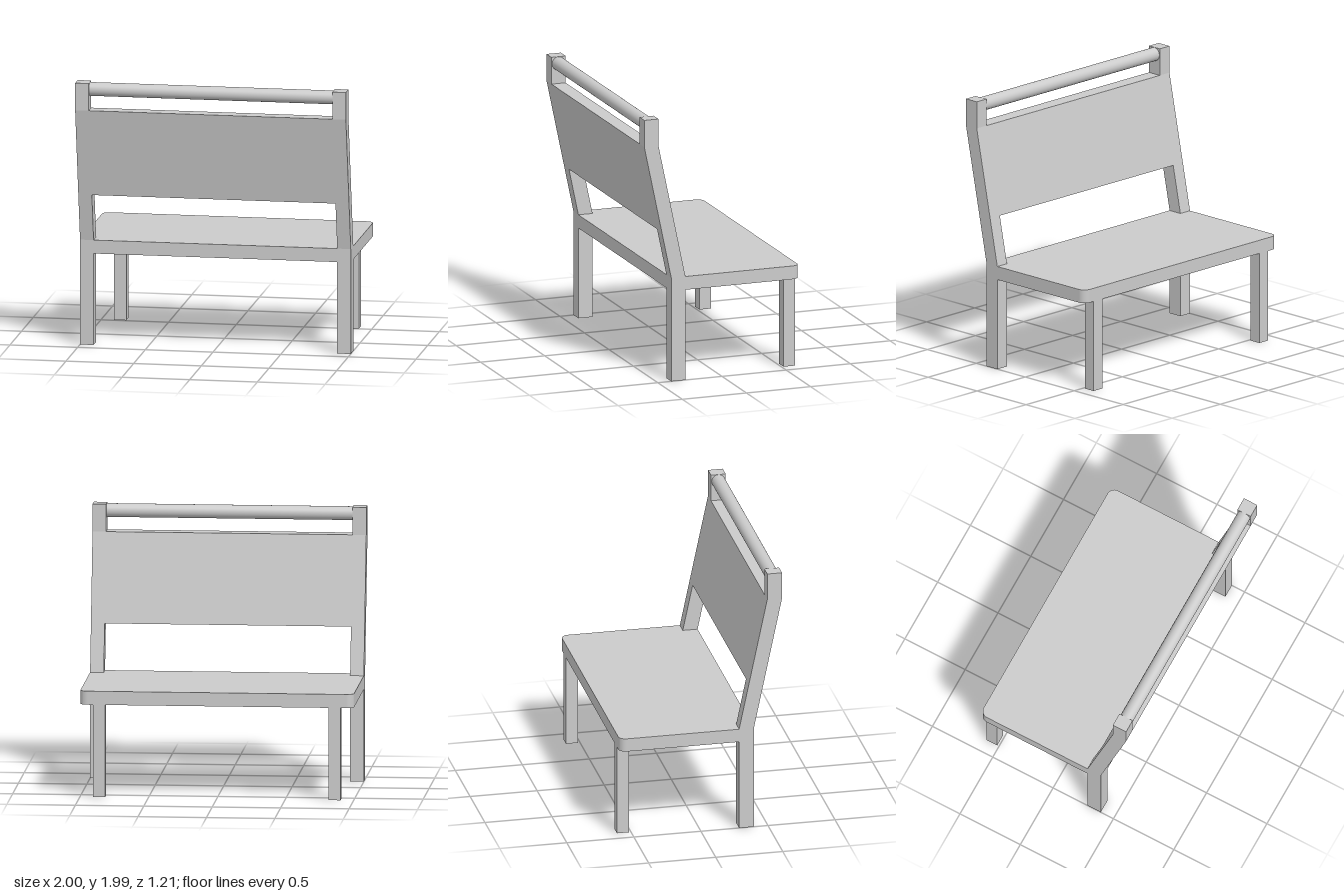
import * as THREE from 'three';

const material = new THREE.MeshStandardMaterial({ color: 0xcccccc });

const W = 1, POST = 0.1;               // half width, post width
const SEAT_LOW = 0.68, SEAT_TOP = 0.78;
const BEND = 1.785, TOP = 1.987;       // where the posts turn upright, and their top
const FRONT = -0.605;                  // z of the seat's front edge
const DEPTH = 0.11;                    // post depth

// z of the sloping front face of the backrest at height y
const slopeZ = (y) => 0.285 + 0.21 * (Math.min(y, BEND) - SEAT_TOP) / (BEND - SEAT_TOP);

function add(group, name, geometry, x = 0, y = 0, z = 0) {
  const mesh = new THREE.Mesh(geometry, material);
  mesh.name = name;
  mesh.position.set(x, y, z);
  group.add(mesh);
}

// Side profile following the backrest slope through the given heights, extruded along x
function slopedBar(width, heights) {
  const front = heights.map((y) => new THREE.Vector2(-slopeZ(y), y));
  const back = heights.map((y) => new THREE.Vector2(-slopeZ(y) - DEPTH, y)).reverse();
  return new THREE.ExtrudeGeometry(new THREE.Shape([...front, ...back]), { depth: width, bevelEnabled: false })
    .translate(0, 0, -width / 2)
    .rotateY(Math.PI / 2);
}

// Seat board with its two front corners rounded
function seatBoard() {
  const r = 0.055, back = 0.395;
  const s = new THREE.Shape();
  s.moveTo(-W, back);
  s.lineTo(-W, FRONT + r);
  s.absarc(-W + r, FRONT + r, r, Math.PI, Math.PI * 1.5, false);
  s.absarc(W - r, FRONT + r, r, Math.PI * 1.5, Math.PI * 2, false);
  s.lineTo(W, back);
  s.closePath();
  return new THREE.ExtrudeGeometry(s, { depth: SEAT_TOP - SEAT_LOW, bevelEnabled: false, curveSegments: 6 })
    .rotateX(Math.PI / 2);
}

export function createModel() {
  const bench = new THREE.Group();
  bench.name = 'bench';

  add(bench, 'seat', seatBoard(), 0, SEAT_TOP, 0);

  // Legs and back posts, mirrored
  const frontLeg = new THREE.BoxGeometry(0.09, SEAT_LOW, 0.09);
  const rearLeg = new THREE.BoxGeometry(POST, SEAT_LOW, DEPTH);
  const post = slopedBar(POST, [SEAT_TOP, BEND, TOP]);
  for (const side of [1, -1]) {
    const label = side > 0 ? 'left' : 'right';
    const x = side * (W - POST / 2);
    add(bench, label + 'FrontLeg', frontLeg, side * 0.86, SEAT_LOW / 2, FRONT + 0.045);
    add(bench, label + 'RearLeg', rearLeg, x, SEAT_LOW / 2, 0.34);
    add(bench, label + 'BackPost', post, x);
  }

  // Backrest panel, flush with the posts
  add(bench, 'backrestPanel', slopedBar(2 * (W - POST), [1.13, BEND]));

  // Round top rail between the upright post ends
  const rail = new THREE.CylinderGeometry(0.05, 0.05, 2 * (W - POST) + 0.01, 32).rotateZ(Math.PI / 2);
  add(bench, 'topRail', rail, 0, 1.936, slopeZ(TOP) + DEPTH / 2);

  return bench;
}
